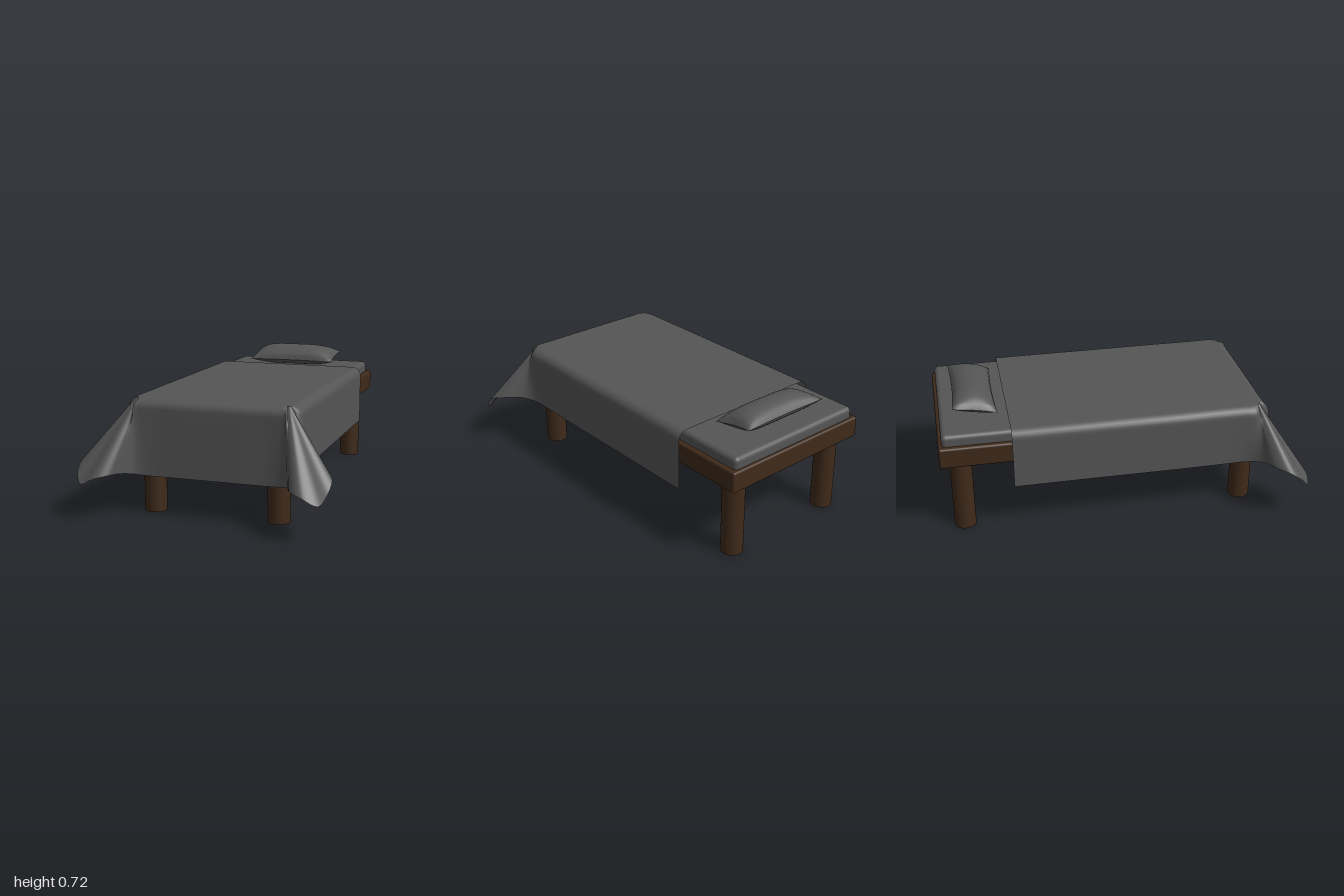
import * as THREE from 'three';
import { RoundedBoxGeometry } from 'three/addons/geometries/RoundedBoxGeometry.js';

const wood = new THREE.MeshStandardMaterial({ color: 0x3f2a1a });
const fabric = new THREE.MeshStandardMaterial({ color: 0x555555 });
const cloth = new THREE.MeshStandardMaterial({ color: 0x555555, side: THREE.DoubleSide });

function add(parent, name, geometry, material, x = 0, y = 0, z = 0) {
  const mesh = new THREE.Mesh(geometry, material);
  mesh.name = name;
  mesh.position.set(x, y, z);
  parent.add(mesh);
  return mesh;
}

// Blanket: a U-shaped outline on the mattress joined to a hem that flares at the foot corners
function blanketGeometry() {
  const top = 0.612, r = 0.05;
  // hem x, y, z, then shoulder x, z, then how much the cloth flares (0 = hangs straight)
  const half = [
    [0.465, 0.28, -0.62, 0.415, -0.62, 0],
    [0.465, 0.28, -0.15, 0.415, -0.15, 0],
    [0.467, 0.28, 0.25, 0.415, 0.25, 0],
    [0.465, 0.28, 0.52, 0.415, 0.52, 0],
    [0.473, 0.285, 0.66, 0.415, 0.65, 0.1],
    [0.52, 0.3, 0.74, 0.415, 0.705, 0.7],
    [0.6, 0.315, 0.775, 0.415, 0.72, 1],
    [0.66, 0.3, 0.85, 0.414, 0.725, 1],
    [0.662, 0.25, 0.92, 0.413, 0.728, 1],
    [0.625, 0.19, 0.97, 0.411, 0.73, 1],
    [0.545, 0.225, 0.985, 0.408, 0.73, 1],
    [0.48, 0.24, 0.95, 0.4, 0.73, 1],
    [0.447, 0.236, 0.88, 0.39, 0.73, 0.8],
    [0.41, 0.22, 0.805, 0.37, 0.73, 0.3],
    [0.33, 0.21, 0.78, 0.32, 0.73, 0],
    [0.17, 0.21, 0.78, 0.17, 0.73, 0],
  ];
  const mirrored = half.map(p => [-p[0], p[1], p[2], -p[3], p[4], p[5]]).reverse();
  const all = [...half, [0, 0.21, 0.78, 0, 0.73, 0], ...mirrored];
  const curve = f => new THREE.CatmullRomCurve3(all.map(f), false, 'catmullrom', 0.5);
  const hem = curve(p => new THREE.Vector3(p[0], p[1], p[2]));
  const shoulder = curve(p => new THREE.Vector3(p[3], p[5], p[4]));

  const cols = (all.length - 1) * 5, arc = 6, rows = 16;
  const pos = [], index = [];
  for (let i = 0; i <= cols; i++) {
    const e = hem.getPoint(i / cols), s = shoulder.getPoint(i / cols);
    const flare = THREE.MathUtils.clamp(s.y, 0, 1), depth = top - e.y;
    pos.push(0, top, Math.min(s.z, 0.5));
    for (let j = 0; j <= rows; j++) {
      const a = Math.min(j / arc, 1) * Math.PI / 2;
      const drop = j <= arc ? r * (1 - Math.cos(a))
        : r + (depth - r) * (j - arc) / (rows - arc);
      const out = THREE.MathUtils.lerp(Math.sin(a), drop / depth, flare);
      pos.push(s.x + (e.x - s.x) * out, top - drop, s.z + (e.z - s.z) * out);
    }
  }
  const n = rows + 2;
  for (let i = 0; i < cols; i++) {
    for (let j = 0; j < n - 1; j++) {
      const a = i * n + j, b = a + n;
      index.push(a, b, a + 1, b, b + 1, a + 1);
    }
  }
  const g = new THREE.BufferGeometry();
  g.setAttribute('position', new THREE.Float32BufferAttribute(pos, 3));
  g.setIndex(index);
  g.computeVertexNormals();
  return g;
}

// One bulging half of the pillow, with edges pulled in between the corners
function pillowHalf(side, bulge) {
  const g = new THREE.PlaneGeometry(2, 2, 32, 20);
  g.rotateX(-side * Math.PI / 2);
  const p = g.attributes.position;
  for (let i = 0; i < p.count; i++) {
    const u = p.getX(i), v = p.getZ(i);
    const h = Math.pow(Math.max(0, (1 - u ** 4) * (1 - v * v)), 0.6);
    p.setXYZ(i, 0.268 * u * (1 - 0.05 * (1 - v * v)), side * bulge * h,
      0.12 * v * (1 - 0.09 * (1 - u * u)));
  }
  g.computeVertexNormals();
  return g;
}

export function createModel() {
  const bed = new THREE.Group();
  bed.name = 'bed';

  // Wooden base and round legs
  add(bed, 'frame', new RoundedBoxGeometry(0.9, 0.115, 1.765, 3, 0.012), wood, 0, 0.482, -0.1175);
  for (const [end, z] of [['front', 0.67], ['back', -0.89]]) {
    for (const [side, x] of [['Left', 0.34], ['Right', -0.34]]) {
      add(bed, end + side + 'Leg', new THREE.CylinderGeometry(0.059, 0.059, 0.44, 32), wood, x, 0.22, z);
    }
  }

  // Bedding
  add(bed, 'mattress', new RoundedBoxGeometry(0.845, 0.09, 1.72, 4, 0.025), fabric, 0, 0.555, -0.122);
  add(bed, 'blanket', blanketGeometry(), cloth);

  // Pillow, its back edge propped up
  const pillow = new THREE.Group();
  pillow.name = 'pillow';
  add(pillow, 'pillowTop', pillowHalf(1, 0.068), cloth);
  add(pillow, 'pillowBottom', pillowHalf(-1, 0.048), cloth);
  pillow.position.set(0, 0.648, -0.79);
  pillow.rotation.x = 0.17;
  bed.add(pillow);

  return bed;
}
